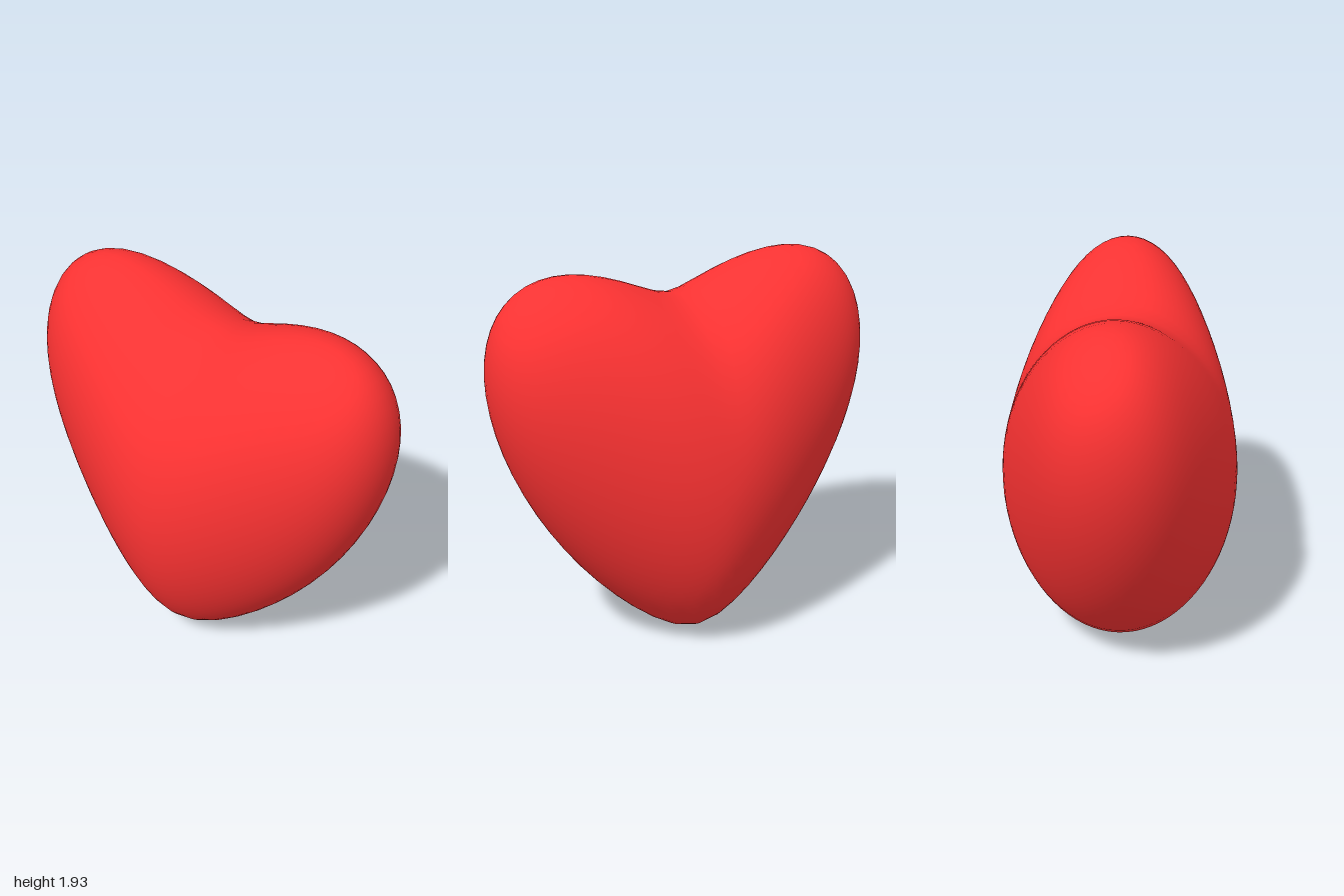
import * as THREE from 'three';
import { mergeVertices } from 'three/addons/utils/BufferGeometryUtils.js';

// Turns a point of the unit sphere into a point of the heart
function bend(p) {
  const ax = Math.min(Math.abs(p.x), 0.9999);
  const fullness = Math.sqrt((1 - ax ** 2.2) / (1 - ax * ax)); // squarer shoulders
  const lift = 0.666 * (Math.hypot(ax, 0.13) - 0.13); // raises both sides into lobes
  const depth = 0.59 * (1 - 0.65 * ax * ax * (1 - ax)) * (1 + 0.035 * p.y); // slimmer flanks
  return p.set(p.x, 0.883 + 0.883 * p.y * fullness + lift, p.z * depth);
}

export function createModel() {
  const group = new THREE.Group();
  group.name = 'heart';

  // Sphere with its poles at front and back, so the rings follow the outline
  let geometry = new THREE.SphereGeometry(1, 64, 40).rotateX(Math.PI / 2);
  geometry.deleteAttribute('uv');
  geometry.deleteAttribute('normal');
  geometry = mergeVertices(geometry, 1e-4);

  const pos = geometry.attributes.position;
  const p = new THREE.Vector3();
  for (let i = 0; i < pos.count; i++) {
    bend(p.fromBufferAttribute(pos, i));
    pos.setXYZ(i, p.x, p.y, p.z);
  }
  geometry.computeVertexNormals();

  const body = new THREE.Mesh(geometry, new THREE.MeshStandardMaterial({ color: 0xff3333 }));
  body.name = 'heartBody';
  group.add(body);
  return group;
}
